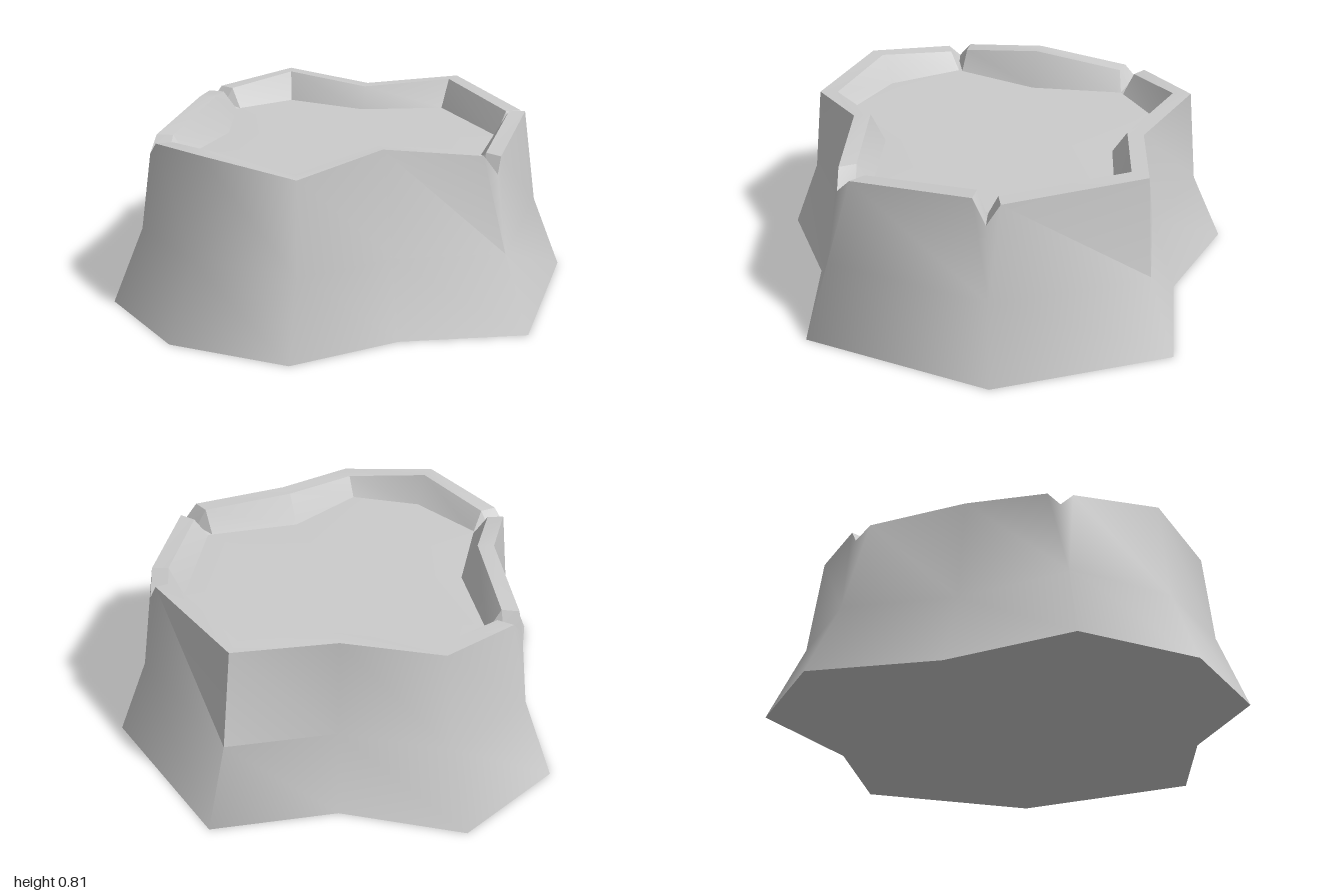
import * as THREE from 'three';
import { toCreasedNormals } from 'three/addons/utils/BufferGeometryUtils.js';

// Clockwise from above: root [x, z], rim [x, z], rim height.
// Two heights mark a split corner: one for each wall that ends there.
const LOBES = [
  { root: [-0.57, -1], rim: [-0.46, -0.83], top: [0.77] },
  { root: [-0.04, -0.89], rim: [-0.04, -0.71], top: [0.74] },
  { root: [0.49, -1], rim: [0.39, -0.83], top: [0.77] },
  { root: [0.95, -0.34], rim: [0.78, -0.27], top: [0.745, 0.77] },
  { root: [0.87, 0.51], rim: [0.71, 0.4], top: [0.72, 0.74] },
  { root: [0.35, 0.68], rim: [0.25, 0.52], top: [0.775] },
  { root: [-0.04, 0.99], rim: [-0.04, 0.82], top: [0.72] },
  { root: [-0.57, 0.89], rim: [-0.46, 0.73], top: [0.77] },
  { root: [-0.95, 0.51], rim: [-0.79, 0.4], top: [0.72, 0.73] },
  { root: [-0.87, -0.06], rim: [-0.7, -0.05], top: [0.805] },
  { root: [-0.95, -0.62], rim: [-0.79, -0.51], top: [0.73, 0.73] },
];
const COUNT = LOBES.length;
const NOTCH_Y = 0.66;
const FLOOR_Y = 0.64;

// Moves a closed outline inwards by a distance, keeping its edges parallel
function inset(outline, distance) {
  const inward = (a, b) => new THREE.Vector2(a.y - b.y, b.x - a.x).normalize();
  return outline.map((p, i) => {
    const n1 = inward(outline[(i + COUNT - 1) % COUNT], p);
    const n2 = inward(p, outline[(i + 1) % COUNT]);
    const scale = distance / (1 + n1.dot(n2));
    return p.clone().addScaledVector(n1.add(n2), scale);
  });
}

// Makes a ring at height y, or at the rim heights when y is left out.
// Split corners become three points: wall end, notch, wall end, spaced by gap.
function ring(outline, gap, y) {
  const points = [];
  outline.forEach((p, i) => {
    const { top } = LOBES[i];
    const put = (q, h) => points.push(new THREE.Vector3(q.x, y ?? h, q.y));
    const towards = (q) => q.clone().sub(p).setLength(gap).add(p);
    if (top.length === 1) {
      put(p, top[0]);
    } else {
      put(towards(outline[(i + COUNT - 1) % COUNT]), top[0]);
      put(p, NOTCH_Y);
      put(towards(outline[(i + 1) % COUNT]), top[1]);
    }
  });
  return points;
}

// Joins successive rings into a surface, leaving out collapsed triangles
function skin(rings, crease) {
  const pos = [];
  const tri = (a, b, c) => {
    if (new THREE.Triangle(a, b, c).getArea() > 1e-6) {
      for (const p of [a, b, c]) pos.push(p.x, p.y, p.z);
    }
  };
  for (let r = 0; r < rings.length - 1; r++) {
    const low = rings[r], up = rings[r + 1];
    for (let i = 0; i < low.length; i++) {
      const j = (i + 1) % low.length;
      tri(low[i], up[i], up[j]);
      tri(low[i], up[j], low[j]);
    }
  }
  const geo = new THREE.BufferGeometry();
  geo.setAttribute('position', new THREE.Float32BufferAttribute(pos, 3));
  return toCreasedNormals(geo, crease);
}

export function createModel() {
  const group = new THREE.Group();
  group.name = 'treeStump';
  const material = new THREE.MeshStandardMaterial({ color: 0xcccccc });
  const add = (name, rings, crease) => {
    const mesh = new THREE.Mesh(skin(rings, crease), material);
    mesh.name = name;
    group.add(mesh);
  };

  const roots = LOBES.map((l) => new THREE.Vector2(...l.root));
  const rim = LOBES.map((l) => new THREE.Vector2(...l.rim));
  const waistLine = roots.map((p) => p.clone().multiplyScalar(0.87));

  const ground = ring(roots, 0, 0);
  const waist = ring(waistLine, 0, 0.33);
  const outer = ring(rim, 0.06);
  const inner = ring(inset(rim, 0.07), 0.045);
  const floor = ring(inset(rim, 0.13), 0.02, FLOOR_Y);
  const centre = (y) => ground.map(() => new THREE.Vector3(0, y, -0.05));

  // Flared bark from the roots up to the rim
  add('bark', [ground, waist, outer], 1.15);
  // Split rim and the short wall inside it
  add('rim', [outer, inner], 0.4);
  add('innerWall', [inner, floor], 0.6);
  // Sunken cut wood surface
  add('cutSurface', [floor, centre(FLOOR_Y + 0.01)], 0.6);
  // Flat underside
  add('underside', [centre(0), ground], 0.4);

  return group;
}
